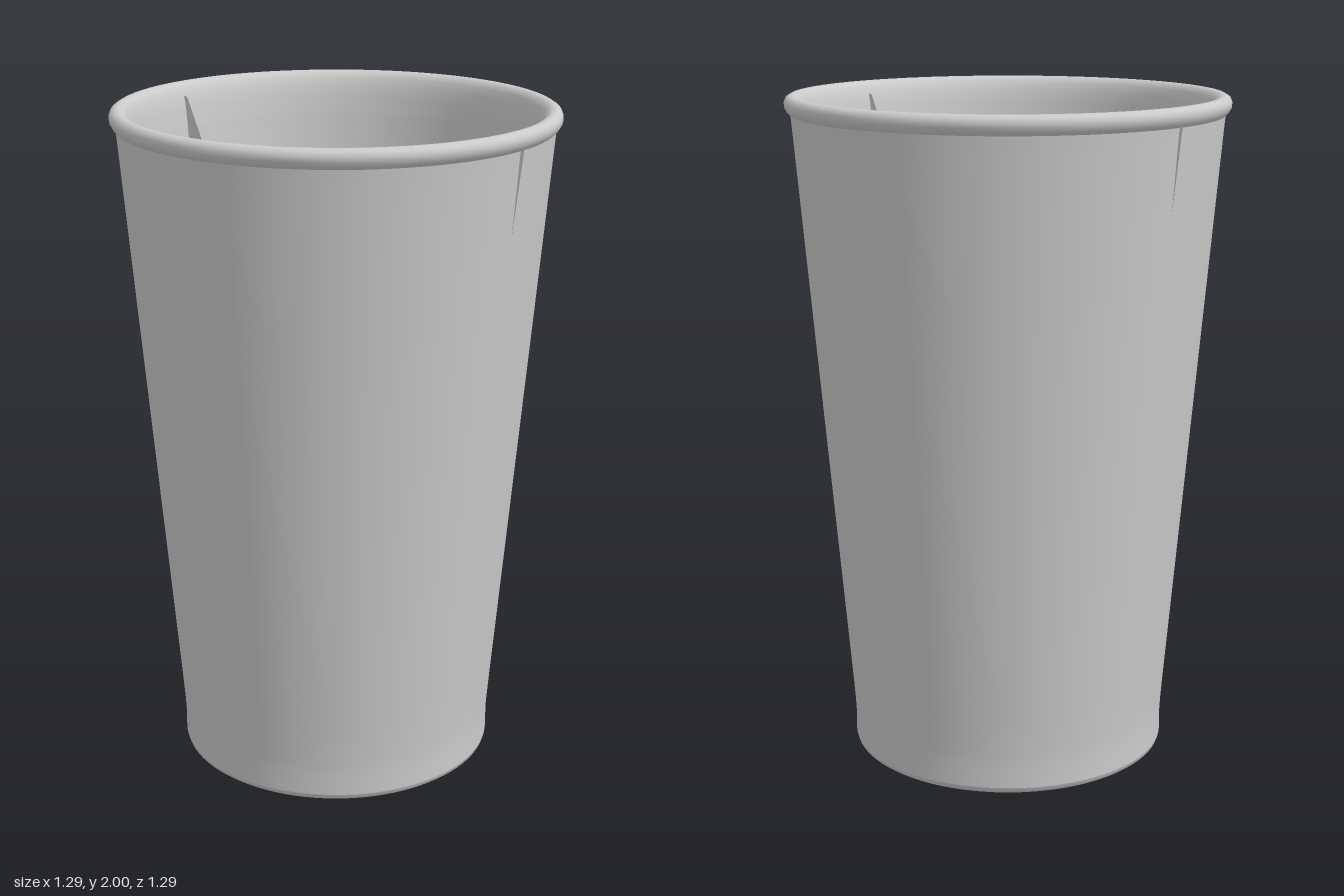
import * as THREE from 'three';

const material = new THREE.MeshStandardMaterial({ color: 0xcccccc, side: THREE.DoubleSide });

function lathe(name, points) {
  const profile = points.map(([r, y]) => new THREE.Vector2(r, y));
  const mesh = new THREE.Mesh(new THREE.LatheGeometry(profile, 96), material);
  mesh.name = name;
  return mesh;
}

export function createModel() {
  const group = new THREE.Group();
  group.name = 'cup';

  // Underside with a slightly lowered centre, then the rounded foot
  group.add(lathe('base', [
    [0, 0], [0.3, 0], [0.32, 0.008], [0.445, 0.012],
    [0.462, 0.015], [0.471, 0.022], [0.475, 0.035],
  ]));

  // Tapered outer wall, straight near the foot
  group.add(lathe('outerWall', [
    [0.475, 0.035], [0.475, 0.1], [0.477, 0.14], [0.485, 0.24], [0.624, 1.9], [0.628, 1.945],
  ]));

  // Rolled lip
  group.add(lathe('rim', [
    [0.628, 1.945], [0.638, 1.954], [0.645, 1.967], [0.646, 1.98], [0.641, 1.992],
    [0.63, 1.999], [0.617, 2], [0.604, 1.994], [0.594, 1.98], [0.586, 1.955],
    [0.58, 1.92], [0.575, 1.87],
  ]));

  // Inner wall and floor
  group.add(lathe('innerWall', [[0.575, 1.87], [0.572, 1.83], [0.436, 0.11], [0.433, 0.08]]));
  group.add(lathe('floor', [[0.433, 0.08], [0.425, 0.068], [0.41, 0.062], [0.39, 0.06], [0, 0.06]]));

  // Thin upright web across the middle, notched in a V and just poking out under the rim
  const outline = [
    [-0.575, 1.96], [0, 0.69], [0.575, 1.96], [0.642, 1.975],
    [0.4, 0.06], [-0.4, 0.06], [-0.642, 1.975],
  ].map(([x, y]) => new THREE.Vector2(x, y));
  const web = new THREE.Mesh(new THREE.ShapeGeometry(new THREE.Shape(outline)), material);
  web.name = 'innerWeb';
  group.add(web);

  return group;
}
